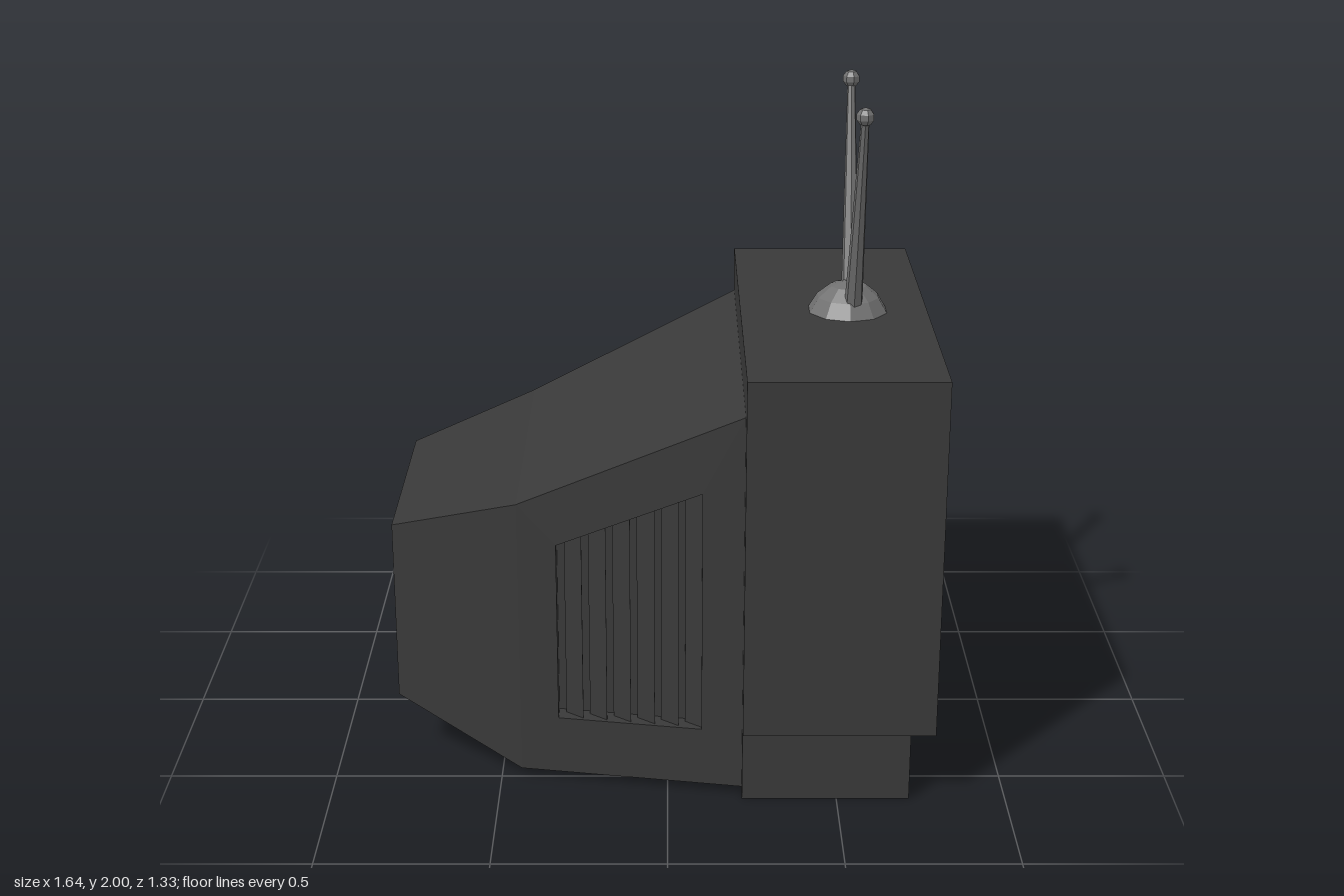
import * as THREE from 'three';

const mat = (name, color) => {
  const m = new THREE.MeshStandardMaterial({ color, side: THREE.DoubleSide });
  m.name = name;
  return m;
};

// closed outline from [x, y] points
const outline = (pts, Type = THREE.Shape) => new Type(pts.map(p => new THREE.Vector2(...p)));
const rect = (w, y0, y1, c = 0) => [[c - w, y0], [c + w, y0], [c + w, y1], [c - w, y1]];
const slab = (shape, depth) => new THREE.ExtrudeGeometry(shape, { depth, bevelEnabled: false });

// flat-shaded surface from four-cornered faces
function quads(list) {
  const pos = [];
  for (const [a, b, c, d] of list) pos.push(...a, ...b, ...c, ...a, ...c, ...d);
  const g = new THREE.BufferGeometry();
  g.setAttribute('position', new THREE.Float32BufferAttribute(pos, 3));
  g.computeVertexNormals();
  return g;
}

// corners of an upright rectangle across the x axis, anticlockwise seen from +x
const loop = ([x, hz, y0, y1]) => [[x, y0, hz], [x, y0, -hz], [x, y1, -hz], [x, y1, hz]];

// strips between successive rectangles; sides: 0 bottom, 1 right, 2 top, 3 left
function strips(sections, sides = [0, 1, 2, 3]) {
  const out = [];
  for (let s = 0; s + 1 < sections.length; s++) {
    const a = loop(sections[s]), b = loop(sections[s + 1]);
    for (const i of sides) out.push([a[i], a[(i + 1) % 4], b[(i + 1) % 4], b[i]]);
  }
  return out;
}

// bulging glass: rounded-rectangle rings with smooth normals
function glassDome(rings, cy, seg = 40) {
  const pos = [], idx = [];
  rings.forEach(([x, hz, hy], r) => {
    for (let i = 0; i < seg; i++) {
      const t = i / seg * Math.PI * 2, c = Math.cos(t), s = Math.sin(t);
      const soft = v => Math.sign(v) * Math.abs(v) ** 0.4;
      pos.push(x, cy + hy * soft(s), -hz * soft(c));
      if (r === 0) continue;
      const j = (i + 1) % seg, a = (r - 1) * seg, b = r * seg;
      idx.push(a + i, a + j, b + j, a + i, b + j, b + i);
    }
  });
  const g = new THREE.BufferGeometry();
  g.setAttribute('position', new THREE.Float32BufferAttribute(pos, 3));
  g.setIndex(idx);
  g.computeVertexNormals();
  return g;
}

const faceted = g => {
  const f = g.toNonIndexed();
  f.computeVertexNormals();
  return f;
};

export function createModel() {
  const model = new THREE.Group();
  model.name = 'television';
  const dark = mat('charcoal plastic', 0x393939);
  const light = mat('grey trim', 0x707070);
  const glass = mat('dark glass', 0x383838);

  const add = (name, geo, material, parent = model) => {
    const m = new THREE.Mesh(geo, material);
    m.name = name;
    parent.add(m);
    return m;
  };

  // front housing and recessed screen
  const F = 0.785;
  const back = [0.22, 0.665, 0.225, 1.32], front = [F, 0.665, 0.225, 1.32];
  add('housing', quads([...strips([front, back]), loop(back).reverse()]), dark);
  add('bezel', quads(strips([front, [F, 0.575, 0.325, 1.225], [0.72, 0.475, 0.405, 1.145]])), light);
  add('screenSurround', quads([loop([0.72, 0.475, 0.405, 1.145])]), glass);
  add('screen', glassDome([[0.72, 0.4, 0.335], [0.755, 0.365, 0.295], [F, 0.32, 0.245],
    [0.806, 0.265, 0.207], [0.819, 0.21, 0.17], [0.822, 0.1, 0.08], [0.823, 0.001, 0.001]], 0.775), glass);

  // tapered rear casing
  const s0 = [0.22, 0.607, 0.025, 1.195], s1 = [-0.44, 0.495, 0.025, 0.885], s2 = [-0.82, 0.35, 0.2, 0.76];
  add('rearCasing', quads([...strips([s0, s1], [0, 2]), ...strips([s1, s2]), loop(s0)]), dark);

  // rear panel with a socket recess
  const rearShape = outline(rect(0.35, 0.2, 0.76));
  rearShape.holes.push(outline(rect(0.265, 0.28, 0.7), THREE.Path));
  const recessDepth = 0.1;
  add('rearPanel', quads([
    ...strips([s2, [-0.82, 0.265, 0.28, 0.7], [-0.82 + recessDepth, 0.265, 0.28, 0.7]]),
    loop([-0.82 + recessDepth, 0.265, 0.28, 0.7]).reverse()]), dark);

  // vented side panels, laid on the slanting sides
  const halfZ = x => 0.495 + (x + 0.44) / 0.66 * 0.112;
  const ventTop = x => 0.765 + (x + 0.325) / 0.425 * 0.19;
  const x0 = -0.325, x1 = 0.1, depth = 0.06;
  const lay = (geo, offset) => {
    const p = geo.attributes.position;
    for (let i = 0; i < p.count; i++) p.setZ(i, p.getZ(i) + halfZ(p.getX(i)) + offset(p.getX(i)));
    geo.computeVertexNormals();
    return geo;
  };
  const upright = (a, b) => [[a, 0.205], [b, 0.205], [b, ventTop(b)], [a, ventTop(a)]];
  for (const side of [1, -1]) {
    const vent = new THREE.Group();
    vent.name = side > 0 ? 'leftVent' : 'rightVent';
    vent.scale.z = side;
    model.add(vent);
    const panel = outline([[-0.44, 0.025], [0.22, 0.025], [0.22, 1.195], [-0.44, 0.885]]);
    panel.holes.push(outline(upright(x0, x1), THREE.Path));
    add('sidePanel', lay(slab(panel, depth), () => -depth), dark, vent);
    add('ventBack', lay(new THREE.ShapeGeometry(outline(upright(x0, x1))), () => -depth), dark, vent);
    for (let i = 0; i < 6; i++) {
      const a = x0 + 0.022 + i * 0.071, b = Math.min(a + 0.052, x1);
      add('ventSlat', lay(slab(outline(upright(a, b)), 0.01), x => -0.052 + (x - a) * 0.6), dark, vent);
    }
  }

  // base: forward compartment on one half, recessed controls on the other
  const box = (name, xa, xb, ya, yb, za, zb) => {
    const g = new THREE.BoxGeometry(xb - xa, yb - ya, zb - za);
    g.translate((xa + xb) / 2, (ya + yb) / 2, (za + zb) / 2);
    return add(name, g, dark);
  };
  box('baseCompartment', 0.22, 0.803, 0, 0.215, -0.635, 0);
  box('baseControlBlock', 0.22, 0.665, 0, 0.215, 0, 0.635);
  const frame = outline(rect(0.3175, 0, 0.215, -0.3175));
  frame.holes.push(outline(rect(0.27, 0.022, 0.193, -0.315), THREE.Path));
  add('controlFrame', slab(frame, 0.05).rotateY(Math.PI / 2).translate(0.665, 0, 0), dark);
  for (const z of [0.48, 0.355, 0.23]) {
    const knob = new THREE.CylinderGeometry(0.034, 0.038, 0.045, 10).rotateZ(-Math.PI / 2);
    add('knob', faceted(knob.translate(0.6875, 0.108, z)), light);
  }

  // rounded compartment door
  const w = 0.275, h = 0.08, r = 0.035, door = new THREE.Shape();
  [[w - r, h - r, 0], [r - w, h - r, 1], [r - w, r - h, 2], [w - r, r - h, 3]].forEach(([x, y, q]) =>
    door.absarc(x, y, r, q * Math.PI / 2, (q + 1) * Math.PI / 2, false));
  add('compartmentDoor', slab(door, 0.006).rotateY(Math.PI / 2).translate(0.8, 0.108, -0.323), light);

  // antenna: faceted dome, two splayed rods with tips
  const antenna = new THREE.Group();
  antenna.name = 'antenna';
  antenna.position.set(0.545, 0, 0);
  model.add(antenna);
  const dome = [[0.122, 1.32], [0.095, 1.365], [0.055, 1.398], [0, 1.412]].map(p => new THREE.Vector2(...p));
  add('antennaBase', faceted(new THREE.LatheGeometry(dome, 10)), light, antenna);
  for (const side of [1, -1]) {
    const a = new THREE.Vector3(0.012, 1.34, side * 0.062), b = new THREE.Vector3(0.014, 1.965, side * 0.262);
    const dir = b.clone().sub(a);
    const rod = add('antennaRod', faceted(new THREE.CylinderGeometry(0.012, 0.028, dir.length(), 7)), light, antenna);
    rod.position.copy(a).add(b).multiplyScalar(0.5);
    rod.quaternion.setFromUnitVectors(new THREE.Vector3(0, 1, 0), dir.normalize());
    add('antennaTip', faceted(new THREE.SphereGeometry(0.027, 7, 5)), light, antenna).position.set(0.014, 1.973, side * 0.263);
  }
  return model;
}
